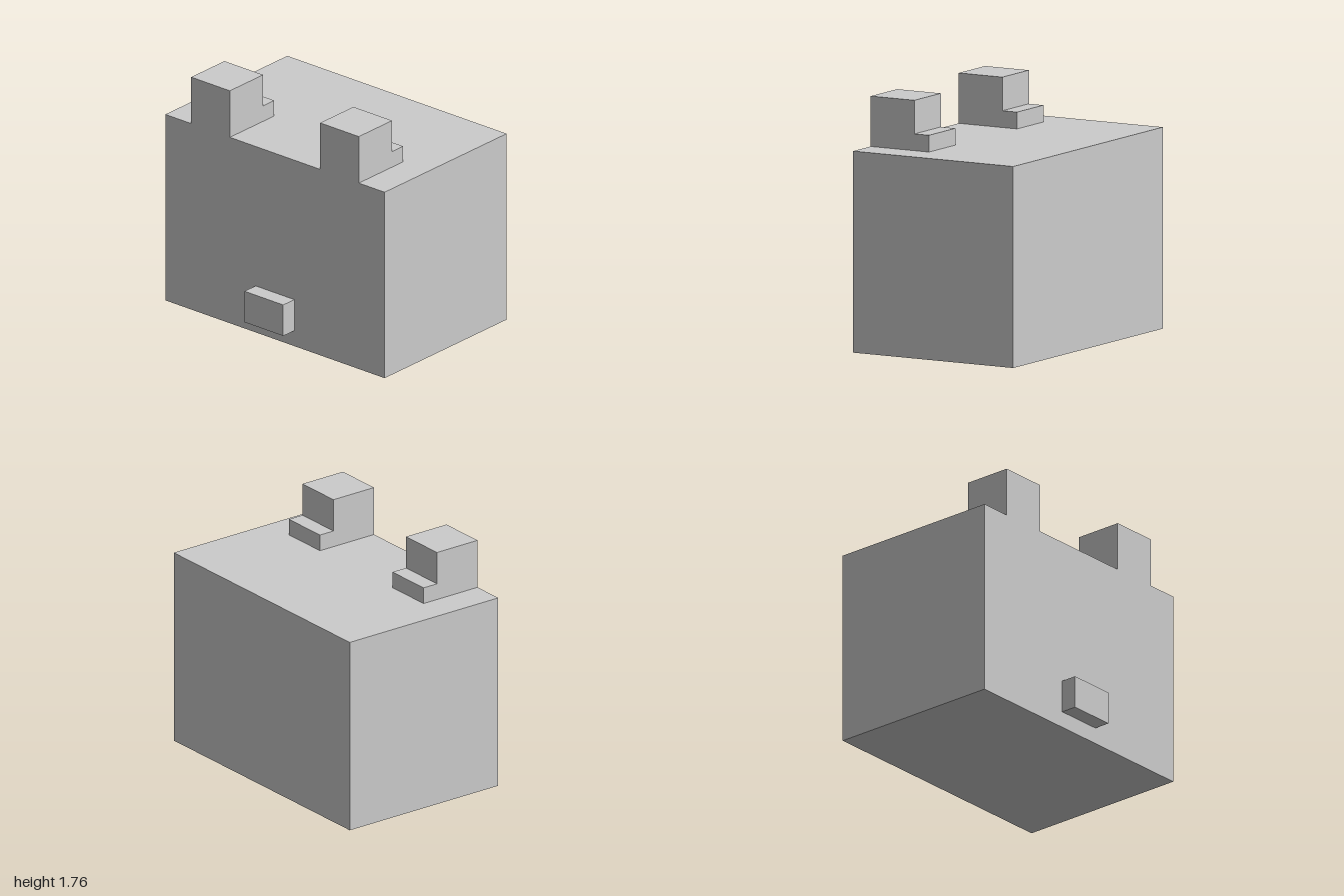
import * as THREE from 'three';

// All sizes sit on a grid of 1/17 units.
const U = 1 / 17;

export function createModel() {
  const group = new THREE.Group();
  const material = new THREE.MeshStandardMaterial({ color: 0xcccccc, flatShading: true });

  const add = (name, geometry, x, y, z) => {
    const mesh = new THREE.Mesh(geometry, material);
    mesh.name = name;
    mesh.position.set(x * U, y * U, z * U);
    group.add(mesh);
  };
  const box = (w, h, d) => new THREE.BoxGeometry(w * U, h * U, d * U);

  // Main block, set back to leave room for the front block
  add('body', box(34, 24, 22), 0, 12, -1);

  // Small block low on the front
  add('frontBlock', box(6, 4, 2), 0, 4, 11);

  // Stepped top blocks: side profile (z, y), extruded across x
  const profile = [[0, 0], [8, 0], [8, 6], [2, 6], [2, 2], [0, 2]];
  const shape = new THREE.Shape(profile.map(([z, y]) => new THREE.Vector2(z * U, y * U)));
  const topBlock = new THREE.ExtrudeGeometry(shape, { depth: 6 * U, bevelEnabled: false });
  topBlock.translate(0, 0, -3 * U).rotateY(-Math.PI / 2);

  add('leftTopBlock', topBlock, 10, 24, 2);
  add('rightTopBlock', topBlock, -10, 24, 2);

  return group;
}
